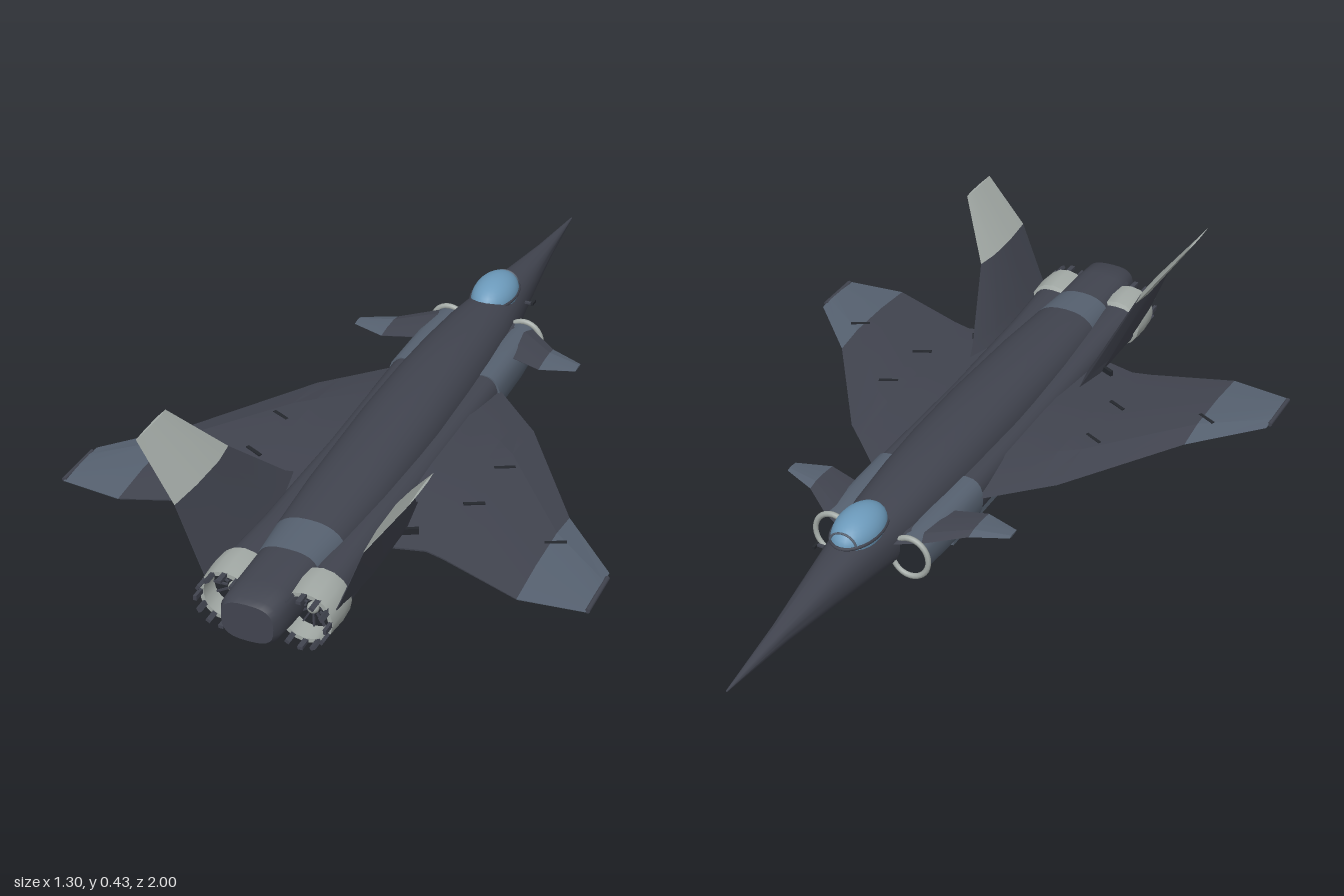
import * as THREE from 'three';
import { toCreasedNormals } from 'three/addons/utils/BufferGeometryUtils.js';

const mat = (name, color) => new THREE.MeshStandardMaterial({ name, color });

// Skins a list of closed rings (equal point counts), caps both ends, faces outwards.
function loft(rings, crease = 0.5) {
  const n = rings[0].length, pos = [], idx = [];
  rings.forEach(r => r.forEach(p => pos.push(...p)));
  for (let i = 0; i < rings.length - 1; i++) {
    for (let j = 0; j < n; j++) {
      const a = i * n + j, b = i * n + (j + 1) % n;
      idx.push(a, b, b + n, a, b + n, a + n);
    }
  }
  const e = (rings.length - 1) * n;
  for (let j = 1; j < n - 1; j++) idx.push(0, j + 1, j, e, e + j, e + j + 1);
  // Signed volume tells whether the winding must be reversed.
  const v = i => new THREE.Vector3().fromArray(pos, idx[i] * 3);
  let volume = 0;
  for (let i = 0; i < idx.length; i += 3) volume += v(i).dot(v(i + 1).cross(v(i + 2)));
  if (volume < 0) idx.reverse();
  const g = new THREE.BufferGeometry();
  g.setAttribute('position', new THREE.Float32BufferAttribute(pos, 3));
  g.setIndex(idx);
  return toCreasedNormals(g, crease);
}

// Rounded body; stations are [z, centre x, top, bottom, half width].
function body(stations, power = 0.85, sides = 28) {
  const bend = c => Math.sign(c) * Math.pow(Math.abs(c), power);
  return loft(stations.map(([z, cx, top, bottom, w]) =>
    Array.from({ length: sides }, (_, i) => {
      const a = i / sides * Math.PI * 2;
      return [cx + bend(Math.cos(a)) * w, (top + bottom) / 2 + bend(Math.sin(a)) * (top - bottom) / 2, z];
    })), 0.6);
}

// Thin faceted aerofoil; sections are [x, y, leading z, trailing z, thickness].
function foil(sections, side, upright = false) {
  return loft(sections.map(([x, y, lead, trail, t]) =>
    [[0, 0], [0.25, 0.5], [0.65, 0.45], [1, 0.04], [1, -0.04], [0.65, -0.45], [0.25, -0.5]].map(([f, h]) =>
      [side * (x + (upright ? h * t : 0)), y + (upright ? 0 : h * t), lead + (trail - lead) * f])), 0.2);
}

export function createModel() {
  const model = new THREE.Group();
  model.name = 'jet';
  const hull = mat('dark hull', 0x41444f);
  const slate = mat('slate panel', 0x566170);
  const pale = mat('pale metal', 0xa3aaa6);
  const dark = mat('shadow black', 0x24272d);
  const glass = mat('canopy glass', 0x6c9abb);

  const add = (name, geometry, material, x = 0, y = 0, z = 0, parent = model) => {
    const m = new THREE.Mesh(geometry, material);
    m.name = name;
    m.position.set(x, y, z);
    parent.add(m);
    return m;
  };
  const box = (name, w, h, d, material, x, y, z) =>
    add(name, new THREE.BoxGeometry(w, h, d), material, x, y, z);

  // Fuselage, with a lighter band ahead of the tail block
  add('fuselage', body([
    [-1, 0, 0.132, 0.128, 0.002], [-0.78, 0, 0.156, 0.107, 0.022], [-0.6, 0, 0.18, 0.083, 0.045],
    [-0.45, 0, 0.198, 0.063, 0.065], [-0.3, 0, 0.212, 0.047, 0.085], [-0.15, 0, 0.221, 0.036, 0.096],
    [0, 0, 0.225, 0.03, 0.102], [0.2, 0, 0.222, 0.033, 0.105], [0.5, 0, 0.207, 0.045, 0.1],
    [0.69, 0, 0.195, 0.053, 0.09]]), hull);
  add('rearBand', body([[0.69, 0, 0.195, 0.053, 0.09], [0.8, 0, 0.189, 0.059, 0.082]]), slate);
  add('tailBlock', body([[0.8, 0, 0.188, 0.06, 0.076], [0.92, 0, 0.186, 0.066, 0.074],
    [0.985, 0, 0.183, 0.072, 0.07], [1, 0, 0.175, 0.08, 0.062]], 0.7), hull);

  // Canopy with its sill and front frame
  const bubble = add('canopy', new THREE.SphereGeometry(1, 28, 18), glass, 0, 0.19, -0.42);
  bubble.scale.set(0.056, 0.052, 0.093);
  const sill = add('canopySill', new THREE.TorusGeometry(1, 0.05, 6, 32), hull, 0, 0.192, -0.42);
  sill.rotation.x = Math.PI / 2;
  sill.scale.set(0.057, 0.094, 0.08);
  const frame = add('canopyFrame', new THREE.TorusGeometry(0.034, 0.003, 6, 20, Math.PI), slate, 0, 0.192, -0.495);
  frame.scale.y = 0.85;

  // Belly bay: tray, bay body and rim
  box('bayTray', 0.21, 0.02, 0.25, slate, 0, 0.01, -0.025);
  box('bayBody', 0.19, 0.045, 0.16, slate, 0, 0.04, -0.04);
  box('bayPanel', 0.18, 0.004, 0.21, hull, 0, 0.0021, -0.025).position.y = 0.0015;
  for (const z of [-0.13, 0.08]) box('bayStrut', 0.16, 0.025, 0.012, dark, 0, 0.03, z);

  // Sensor probe beside the cockpit
  box('probeArm', 0.02, 0.005, 0.008, hull, 0.073, 0.15, -0.475);
  box('probe', 0.007, 0.007, 0.022, dark, 0.083, 0.15, -0.48);

  for (const s of [1, -1]) {
    const side = s > 0 ? 'left' : 'right';

    // Engine nacelle with intake
    const nacelle = rows => body(rows.map(([z, x, t, b, w]) => [z, s * x, t, b, w]), 0.8, 20);
    add(side + 'IntakeDuct', nacelle([[-0.36, 0.1, 0.155, 0.055, 0.042], [-0.25, 0.103, 0.16, 0.05, 0.045],
      [-0.08, 0.103, 0.16, 0.047, 0.046]]), slate);
    add(side + 'Nacelle', nacelle([[-0.08, 0.1, 0.158, 0.048, 0.044], [0.3, 0.095, 0.155, 0.045, 0.045],
      [0.65, 0.092, 0.16, 0.05, 0.05], [0.83, 0.095, 0.165, 0.052, 0.055]]), hull);
    const lip = add(side + 'IntakeLip', new THREE.TorusGeometry(0.048, 0.007, 8, 28), pale, s * 0.103, 0.106, -0.365);
    lip.scale.y = 1.1;
    const mouth = add(side + 'IntakeMouth', new THREE.CircleGeometry(0.045, 24), dark, s * 0.103, 0.106, -0.364);
    mouth.rotation.y = Math.PI;

    // Exhaust nozzle
    const nozzle = new THREE.Group();
    nozzle.name = side + 'Nozzle';
    nozzle.position.set(s * 0.095, 0.11, 0.81);
    model.add(nozzle);
    const profile = [[0.05, 0], [0.066, 0.008], [0.069, 0.05], [0.065, 0.105], [0.055, 0.105], [0.05, 0.03]]
      .map(p => new THREE.Vector2(...p));
    const shell = add('nozzleShell', toCreasedNormals(new THREE.LatheGeometry(profile, 16), 0.5), pale, 0, 0, 0, nozzle);
    shell.material.side = THREE.DoubleSide;
    shell.rotation.x = Math.PI / 2;
    add('nozzleCore', new THREE.CircleGeometry(0.056, 24), dark, 0, 0, 0.06, nozzle);
    add('nozzleHub', new THREE.SphereGeometry(0.014, 14, 10), pale, 0, 0, 0.064, nozzle);
    for (let i = 0; i < 12; i++) {
      const a = i / 12 * Math.PI * 2, c = Math.cos(a), d = Math.sin(a);
      const petal = add('petal', new THREE.BoxGeometry(0.008, 0.012, 0.04), hull, c * 0.06, d * 0.06, 0.115, nozzle);
      const blade = add('blade', new THREE.BoxGeometry(0.034, 0.004, 0.006), hull, c * 0.034, d * 0.034, 0.062, nozzle);
      petal.rotation.z = blade.rotation.z = a;
    }

    // Main wing with lighter tip panel
    add(side + 'Wing', foil([[0.08, 0.116, -0.15, 0.64, 0.055], [0.145, 0.116, -0.095, 0.62, 0.052],
      [0.24, 0.116, 0.0, 0.598, 0.046], [0.286, 0.116, 0.045, 0.61, 0.042], [0.49, 0.116, 0.352, 0.685, 0.026]], s), hull);
    add(side + 'WingTip', foil([[0.49, 0.116, 0.352, 0.685, 0.026], [0.643, 0.116, 0.516, 0.67, 0.009]], s), slate);
    const rail = add(side + 'TipRail', new THREE.CylinderGeometry(0.006, 0.006, 0.13, 8), hull, s * 0.645, 0.116, 0.6);
    rail.rotation.x = Math.PI / 2;

    // Small fairings across the wing
    for (const [x, z] of [[0.29, 0.245], [0.28, 0.41], [0.5, 0.47], [0.18, 0.56]]) {
      const f = box(side + 'WingFairing', 0.05, 0.045, 0.009, dark, s * x, 0.116, z);
      f.scale.y = x > 0.4 ? 0.6 : 0.95;
      f.rotation.y = s * 0.45;
    }

    // Canard
    add(side + 'Canard', foil([[0.07, 0.147, -0.39, -0.19, 0.016], [0.13, 0.147, -0.355, -0.205, 0.015],
      [0.213, 0.147, -0.283, -0.177, 0.011]], s), hull);
    add(side + 'CanardTip', foil([[0.213, 0.147, -0.283, -0.177, 0.011], [0.3, 0.147, -0.243, -0.205, 0.005]], s), slate);

    // Canted tail fin with pale upper half
    add(side + 'Fin', foil([[0.15, 0.115, 0.42, 0.89, 0.036], [0.165, 0.15, 0.475, 0.89, 0.032],
      [0.223, 0.3, 0.636, 0.888, 0.018]], s, true), hull);
    add(side + 'FinTop', foil([[0.223, 0.3, 0.636, 0.888, 0.018], [0.318, 0.432, 0.738, 0.87, 0.005]], s, true), pale);
  }
  return model;
}
